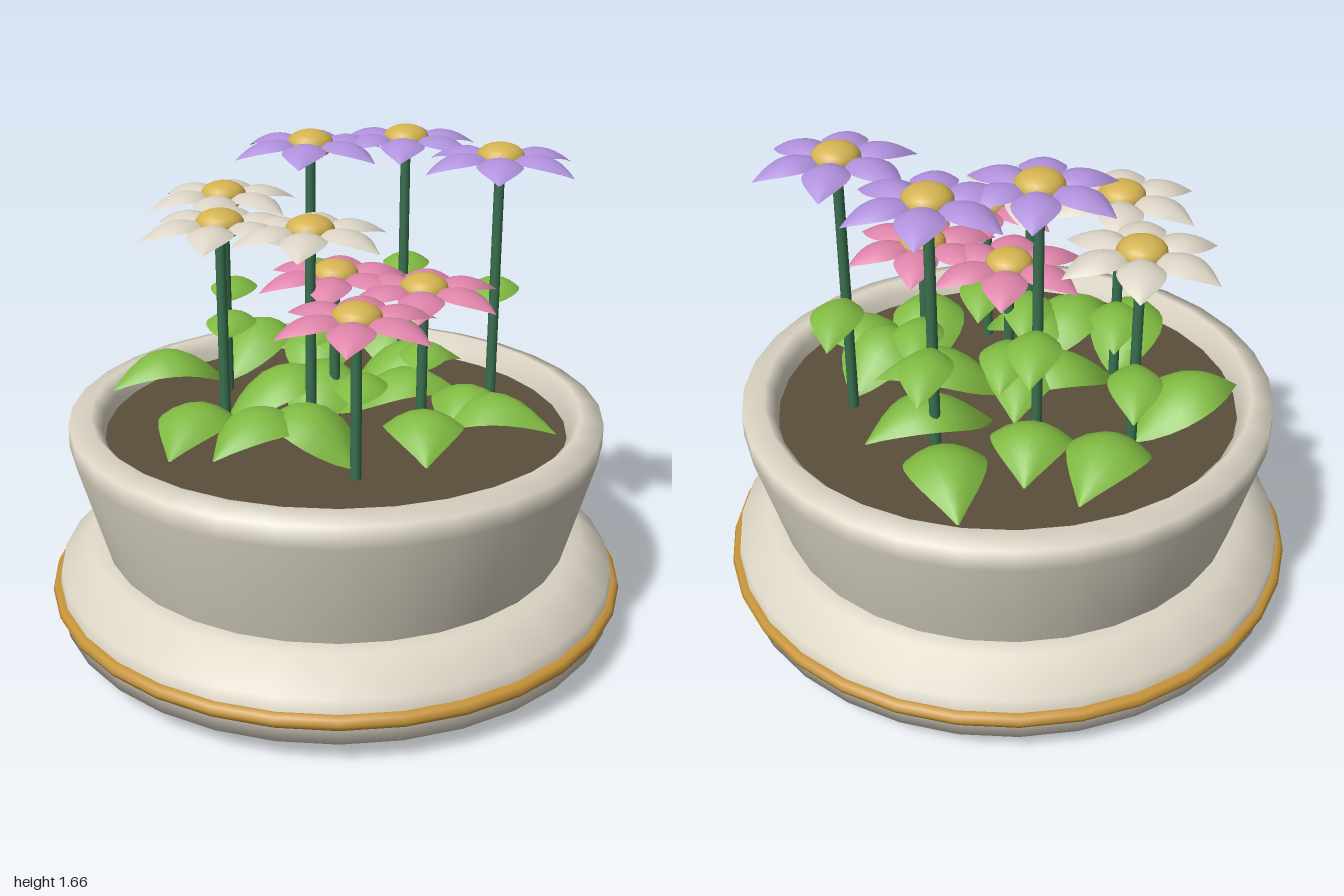
import * as THREE from 'three';
import { mergeGeometries } from 'three/addons/utils/BufferGeometryUtils.js';

const mat = (name, color, side = THREE.FrontSide) => {
  const m = new THREE.MeshStandardMaterial({ color, side });
  m.name = name;
  return m;
};

// Arched pointed blade starting at the origin and running along +x
function bladeGeometry(length, halfWidth, rise, drop, sag) {
  const geo = new THREE.PlaneGeometry(1, 2, 10, 6).rotateX(-Math.PI / 2);
  const p = geo.attributes.position;
  for (let i = 0; i < p.count; i++) {
    const u = p.getX(i) + 0.5;
    const v = p.getZ(i);
    const w = Math.max(0.02, Math.sin(Math.PI * Math.pow(u, 0.88)));
    p.setXYZ(i, u * length,
      rise * Math.sin(Math.PI * u) - drop * u * u - sag * v * v * w,
      v * w * halfWidth);
  }
  geo.computeVertexNormals();
  return geo;
}

export function createModel() {
  const model = new THREE.Group();
  model.name = 'flowerPot';

  const ceramic = mat('ceramic', 0xddd6c6);
  const gold = mat('gold', 0xc8953a);
  const soilMat = mat('soil', 0x5b4e3a);
  const stemMat = mat('stemGreen', 0x39704f);
  const leafMat = mat('leafGreen', 0x80ba42, THREE.DoubleSide);
  const centreMat = mat('centreYellow', 0xd3b250);
  const purple = mat('purplePetal', 0xae8fda, THREE.DoubleSide);
  const cream = mat('creamPetal', 0xd9d2c4, THREE.DoubleSide);
  const pink = mat('pinkPetal', 0xdc82a8, THREE.DoubleSide);

  const add = (parent, name, geo, material, x = 0, y = 0, z = 0) => {
    const mesh = new THREE.Mesh(geo, material);
    mesh.name = name;
    mesh.position.set(x, y, z);
    parent.add(mesh);
    return mesh;
  };
  const lathe = (pts) => new THREE.LatheGeometry(pts.map(([x, y]) => new THREE.Vector2(x, y)), 32);

  // Saucer, pot, gold band and soil
  add(model, 'saucer', lathe([[0, 0], [0.82, 0], [0.97, 0.08], [0.975, 0.15],
    [0.965, 0.23], [0.86, 0.32], [0.78, 0.32], [0, 0.32]]), ceramic);
  add(model, 'pot', lathe([[0.78, 0.3], [0.805, 0.32], [0.905, 0.69], [0.905, 0.762],
    [0.83, 0.783], [0.795, 0.74], [0.78, 0.66]]), ceramic);
  add(model, 'goldBand', new THREE.TorusGeometry(0.973, 0.025, 8, 32).rotateX(Math.PI / 2),
    gold, 0, 0.16, 0);
  const soilY = 0.7;
  add(model, 'soil', new THREE.CircleGeometry(0.79, 32).rotateX(-Math.PI / 2), soilMat, 0, soilY, 0);

  // Shared flower parts
  const petals = [];
  for (let i = 0; i < 6; i++) {
    petals.push(bladeGeometry(0.23, 0.074, 0.03, 0.035, 0.025)
      .translate(0.038, 0, 0).rotateY((i * Math.PI) / 3));
  }
  const petalGeo = mergeGeometries(petals);
  const centreGeo = new THREE.SphereGeometry(0.08, 20, 12).scale(1, 0.62, 1);
  const stemLeafGeo = bladeGeometry(0.31, 0.085, 0.055, 0.025, 0.035).rotateY(Math.PI / 3);

  // Three kinds of flower, each at its own height
  const kinds = [
    ['purpleFlower', purple, 1.615, [[0.02, -0.27], [0.36, -0.23], [0.5, 0.18]]],
    ['creamFlower', cream, 1.425, [[-0.235, -0.45], [-0.375, -0.07], [-0.14, 0.12]]],
    ['pinkFlower', pink, 1.23, [[-0.12, 0.44], [0.2, 0.25], [0, -0.01]]],
  ];
  for (const [name, petalMat, top, spots] of kinds) {
    const h = top - soilY + 0.02;
    for (const [x, z] of spots) {
      const flower = new THREE.Group();
      flower.name = name;
      flower.position.set(x, 0, z);
      model.add(flower);
      add(flower, 'stem', new THREE.CylinderGeometry(0.017, 0.018, h, 10), stemMat, 0, top - h / 2, 0);
      add(flower, 'petals', petalGeo, petalMat, 0, top, 0);
      add(flower, 'centre', centreGeo, centreMat, 0, top, 0);
      add(flower, 'stemLeaf', stemLeafGeo, leafMat, 0, soilY + 0.46 * (top - soilY), 0);
    }
  }

  // Broad leaves around the foot of the stems: base x, z and tip x, z
  const leaves = [
    [-0.235, -0.45, 0.11, -0.75], [-0.235, -0.45, -0.685, -0.37],
    [-0.375, -0.07, -0.675, 0.28], [-0.14, 0.12, -0.55, 0.33],
    [-0.375, -0.07, 0.08, -0.12], [-0.14, 0.12, 0.1, -0.27],
    [0.36, -0.23, 0.47, -0.68], [0.02, -0.27, 0.22, -0.6],
    [0.12, -0.14, 0.58, -0.18], [0, -0.01, 0.42, 0.17],
    [0.2, 0.25, 0.03, 0.63], [0.2, 0.25, 0.53, 0.56],
    [0.5, 0.18, 0.2, 0.42], [-0.12, 0.44, -0.3, 0.1],
  ];
  for (const [x, z, tx, tz] of leaves) {
    const leaf = add(model, 'baseLeaf',
      bladeGeometry(Math.hypot(tx - x, tz - z), 0.13, 0.15, -0.06, 0.06), leafMat, x, soilY + 0.03, z);
    leaf.rotation.y = Math.atan2(z - tz, tx - x);
  }
  return model;
}
